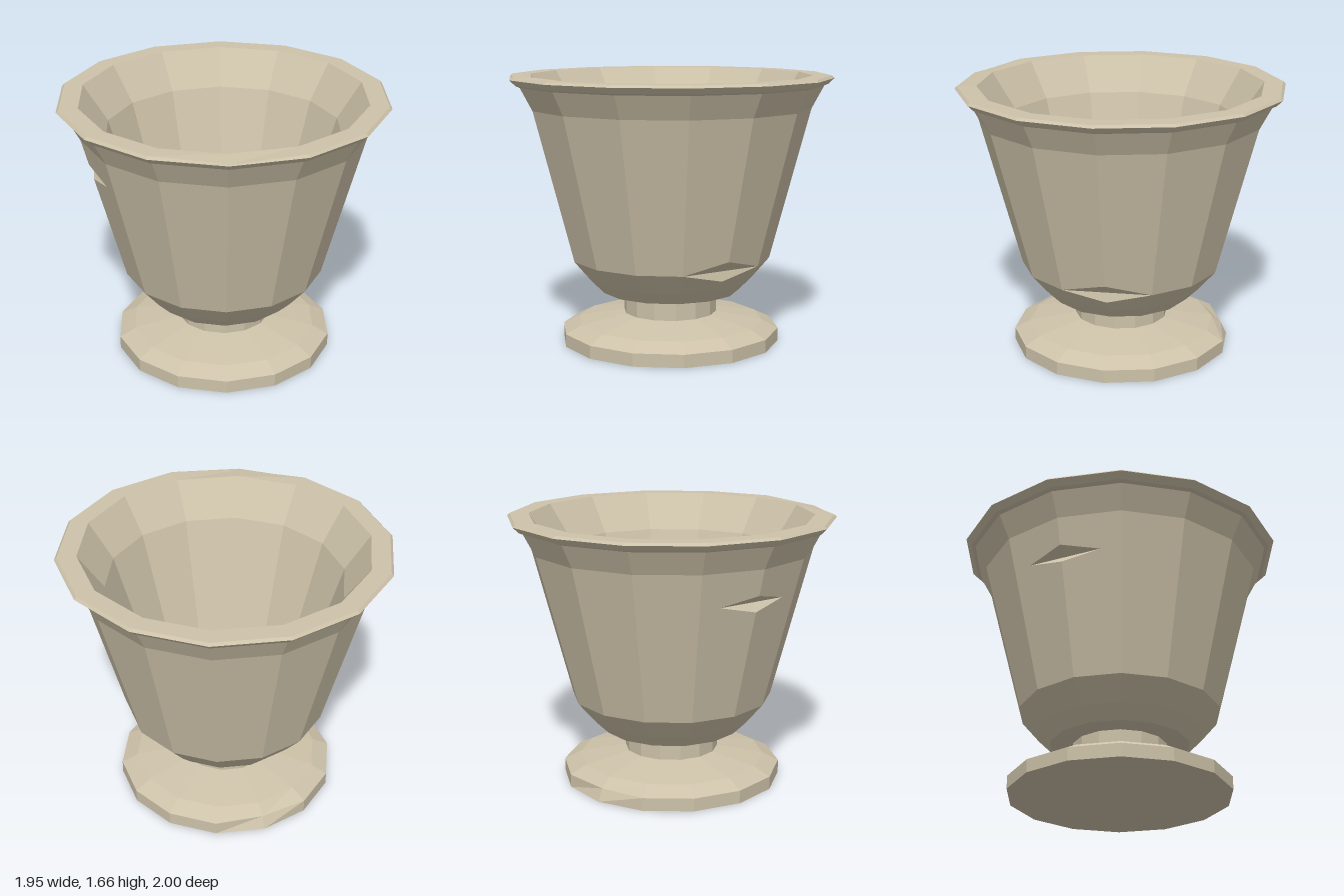
import * as THREE from 'three';

const SIDES = 14;
const stone = new THREE.MeshStandardMaterial({ color: 0xcdc2a9, flatShading: true });
stone.name = 'sandstone';

// Corner k of a ring with radius r at height y (corner 0 faces the front)
const corner = (r, y, k) => {
  const a = (k / SIDES) * Math.PI * 2;
  return new THREE.Vector3(r * Math.sin(a), y, r * Math.cos(a));
};

// Facets swept around a profile of [r, y] pairs; nudge(k, row) may return
// [below, above] replacement corners, skip(k, row) leaves a facet out
function rings(profile, nudge = () => null, skip = () => false) {
  const tris = [];
  const at = (k, row, side) => {
    const moved = nudge(k % SIDES, row);
    return moved ? moved[side] : corner(profile[row][0], profile[row][1], k);
  };
  for (let row = 0; row < profile.length - 1; row++) {
    for (let k = 0; k < SIDES; k++) {
      if (skip(k, row)) continue;
      const a = at(k, row, 1), b = at(k + 1, row, 1);
      const c = at(k + 1, row + 1, 0), d = at(k, row + 1, 0);
      tris.push([a, b, c], [a, c, d]);
    }
  }
  return tris;
}

function part(name, tris) {
  const points = tris
    .filter(([a, b, c]) => new THREE.Triangle(a, b, c).getArea() > 1e-7)
    .flat();
  const geometry = new THREE.BufferGeometry().setFromPoints(points);
  geometry.computeVertexNormals();
  const mesh = new THREE.Mesh(geometry, stone);
  mesh.name = name;
  return mesh;
}

export function createModel() {
  const model = new THREE.Group();
  model.name = 'stoneUrn';

  // Foot, with one worn corner
  const worn = corner(0.645, 0.075, 9);
  model.add(part('foot', rings(
    [[0, 0], [0.68, 0], [0.68, 0.08], [0.58, 0.13], [0.29, 0.18]],
    (k, row) => (k === 9 && row === 2 ? [worn, worn] : null))));

  // Stem
  model.add(part('stem', rings([[0.29, 0.18], [0.29, 0.32]])));

  // Bowl outside, with two wedge-shaped chips cut into its edges
  const wall = [[0.29, 0.32], [0.43, 0.32], [0.51, 0.4], [0.62, 0.53], [0.865, 1.46], [0.94, 1.6]];
  const LOW = 5, HIGH = 12, WALL = 3;
  const onEdge = (row, y, k) => {
    const [r0, y0] = wall[row], [r1, y1] = wall[row + 1];
    return corner(r0 + (r1 - r0) * (y - y0) / (y1 - y0), y, k);
  };
  const lowTop = onEdge(WALL, 0.6, LOW), lowBottom = onEdge(2, 0.47, LOW);
  const bowl = rings(wall,
    (k, row) => (k === LOW && row === WALL ? [lowBottom, lowTop] : null),
    (k, row) => row === WALL && (k === HIGH || k === HIGH - 1));

  const chip = (top, bottom, left, right) => bowl.push([top, left, right], [bottom, right, left]);
  chip(lowTop, lowBottom, corner(0.62, 0.53, LOW - 1), corner(0.62, 0.53, LOW + 1));

  // Upper chip: the two facets beside it fan out around its end points
  const top = onEdge(WALL, 1.3, HIGH), bottom = onEdge(WALL, 1.2, HIGH);
  const ends = [-1, 1].map((side) => {
    const end = onEdge(WALL, 1.25, HIGH).lerp(onEdge(WALL, 1.25, HIGH + side), 0.66);
    const loop = [bottom, corner(...wall[WALL], HIGH), corner(...wall[WALL], HIGH + side),
      corner(...wall[WALL + 1], HIGH + side), corner(...wall[WALL + 1], HIGH), top];
    for (let i = 0; i < loop.length - 1; i++) {
      bowl.push(side < 0 ? [end, loop[i + 1], loop[i]] : [end, loop[i], loop[i + 1]]);
    }
    return end;
  });
  chip(top, bottom, ends[0], ends[1]);
  model.add(part('bowlOutside', bowl));

  // Rim, with one slightly worn corner at the front
  const rimWorn = corner(0.98, 1.648, 1);
  model.add(part('rim', rings(
    [[0.94, 1.6], [0.965, 1.61], [1, 1.645], [0.985, 1.66], [0.87, 1.66]],
    (k, row) => (k === 1 && row === 3 ? [rimWorn, rimWorn] : null))));

  // Bowl inside and floor
  model.add(part('bowlInside', rings(
    [[0.87, 1.66], [0.72, 1.44], [0.43, 0.5], [0.28, 0.42], [0, 0.42]])));

  // Fix winding of the fans beside the upper chip so every wall facet faces outward
  return model;
}
